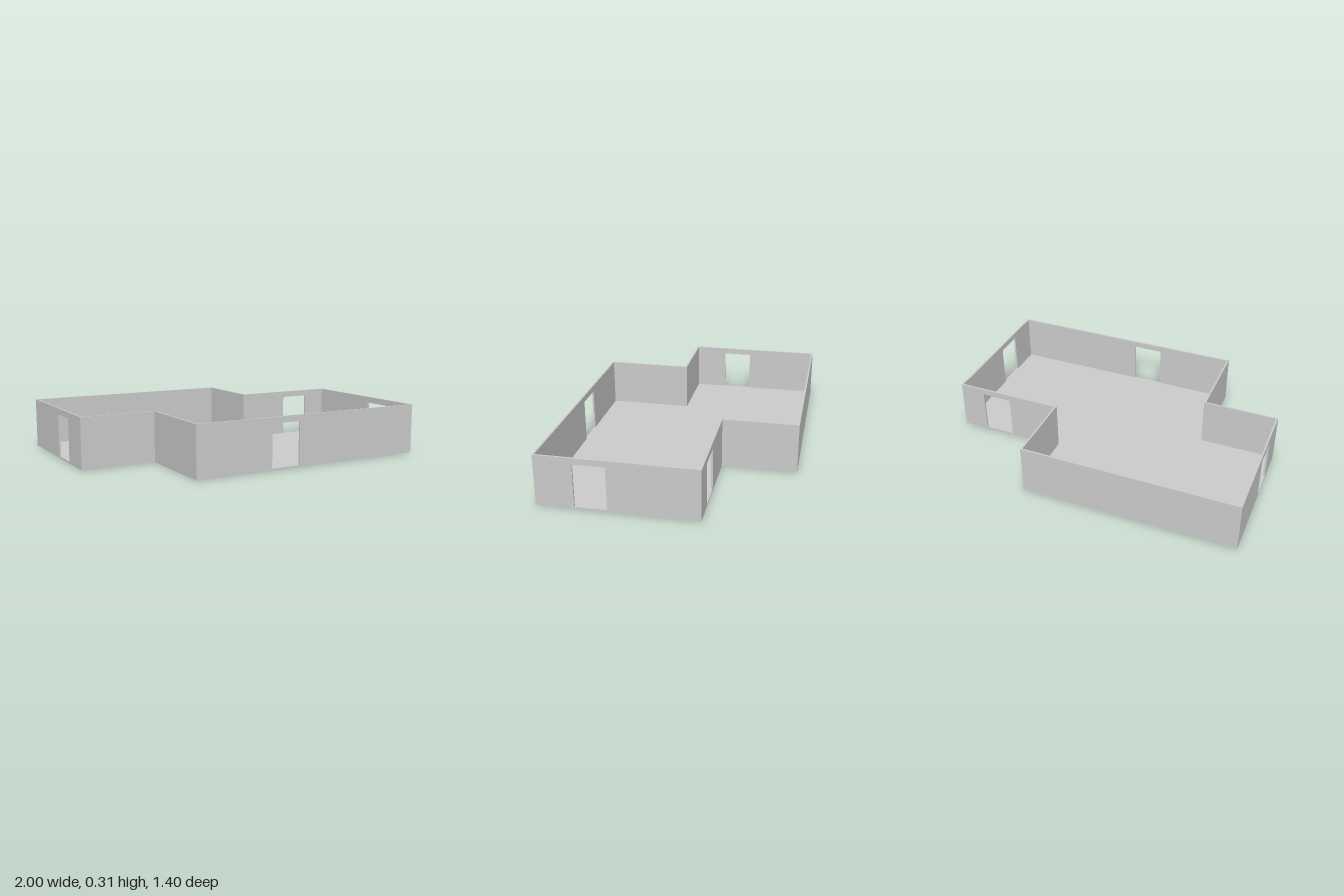
import * as THREE from 'three';

const T = 0.011;       // wall and floor thickness
const TOP = 0.31;      // top of the walls
const DOOR_TOP = 0.272;

// Footprint corners (x, z); each wall runs from its corner to the next.
// door = [start, end] measured along the wall from its own corner.
const WALLS = [
  { name: 'frontWall', at: [-0.54, 0.7], door: [0.49, 0.68] },
  { name: 'leftWall', at: [1, 0.7], door: [0.225, 0.413] },
  { name: 'backRecessWall', at: [1, -0.24], door: [0.16, 0.35] },
  { name: 'backRecessSideWall', at: [0.33, -0.24] },
  { name: 'backWall', at: [0.33, -0.7] },
  { name: 'rightWall', at: [-1, -0.7], door: [0.465, 0.652] },
  { name: 'frontRecessWall', at: [-1, 0.166] },
  { name: 'frontRecessSideWall', at: [-0.54, 0.166] },
];

const corner = (i) => new THREE.Vector2(...WALLS[(i + WALLS.length) % WALLS.length].at);
const along = (i) => corner(i + 1).sub(corner(i));
// +1 at outward corners, -1 at inward ones
const turn = (i) => -Math.sign(along(i - 1).cross(along(i)));

// Wall panel with a door notch; the inner face is mitred at both ends
function wallGeometry(i) {
  const length = along(i).length();
  const { door } = WALLS[i];
  const pts = [[0, T]];
  if (door) pts.push([door[0], T], [door[0], DOOR_TOP], [door[1], DOOR_TOP], [door[1], T]);
  pts.push([length, T], [length, TOP], [0, TOP]);
  const shape = new THREE.Shape(pts.map((p) => new THREE.Vector2(...p)));
  const geo = new THREE.ExtrudeGeometry(shape, { depth: T, bevelEnabled: false });
  geo.translate(0, 0, -T);
  const pos = geo.attributes.position;
  for (let k = 0; k < pos.count; k++) {
    if (pos.getZ(k) > -T / 2) continue;
    const u = pos.getX(k);
    if (u < 1e-4) pos.setX(k, T * turn(i));
    else if (u > length - 1e-4) pos.setX(k, length - T * turn(i + 1));
  }
  geo.computeVertexNormals();
  return geo;
}

export function createModel() {
  const group = new THREE.Group();
  group.name = 'floorPlan';
  const material = new THREE.MeshStandardMaterial({ color: 0xcccccc });

  // Floor slab over the whole footprint
  const outline = new THREE.Shape(WALLS.map((_, i) => corner(i)));
  const floorGeo = new THREE.ExtrudeGeometry(outline, { depth: T, bevelEnabled: false });
  floorGeo.rotateX(Math.PI / 2).translate(0, T, 0);
  const floor = new THREE.Mesh(floorGeo, material);
  floor.name = 'floor';
  group.add(floor);

  // Walls standing on the slab
  WALLS.forEach((wall, i) => {
    const mesh = new THREE.Mesh(wallGeometry(i), material);
    const dir = along(i);
    mesh.name = wall.name;
    mesh.position.set(wall.at[0], 0, wall.at[1]);
    mesh.rotation.y = Math.atan2(-dir.y, dir.x);
    group.add(mesh);
  });

  return group;
}
